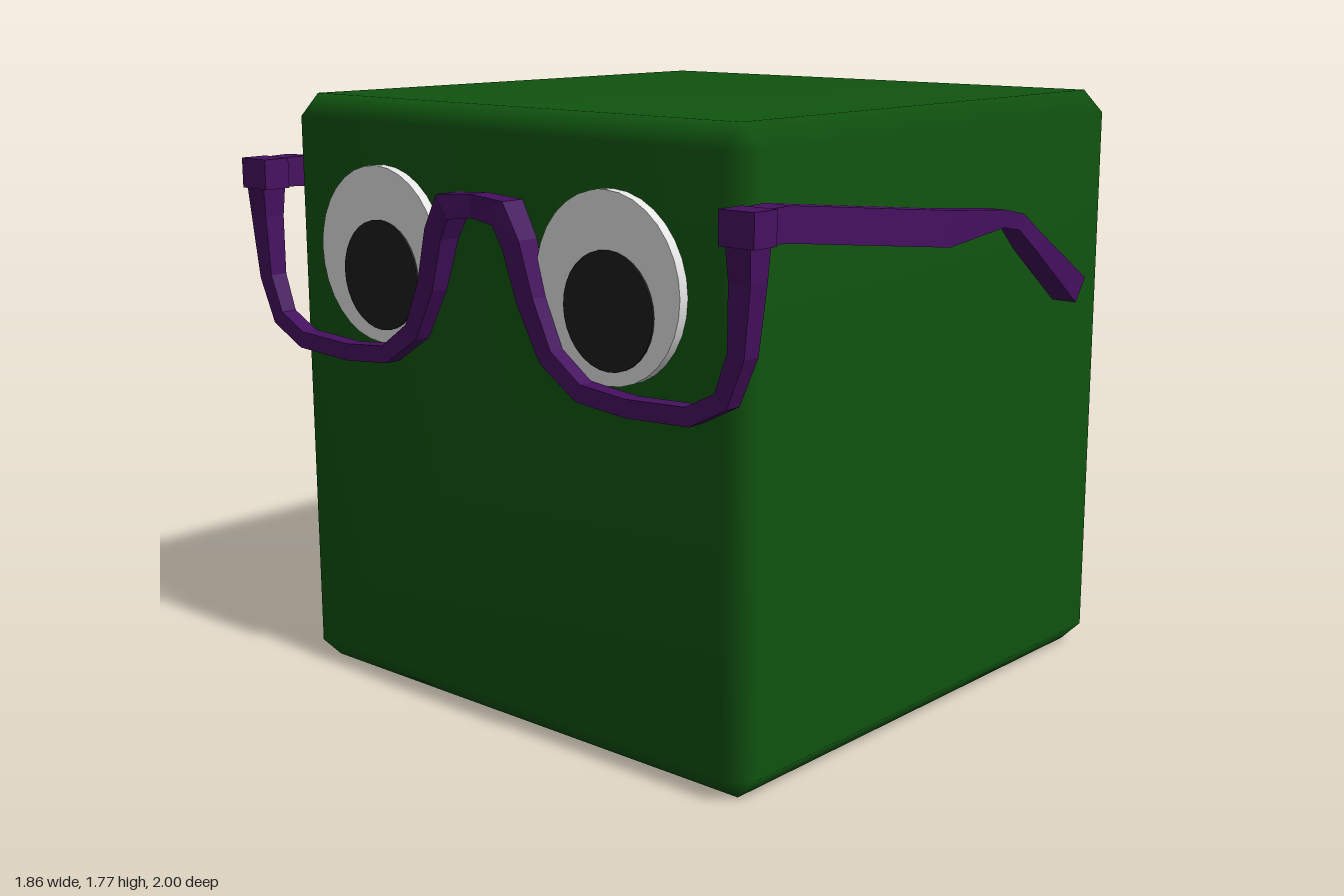
import * as THREE from 'three';
import { mergeVertices } from 'three/addons/utils/BufferGeometryUtils.js';
import { ConvexGeometry } from 'three/addons/geometries/ConvexGeometry.js';

const mat = (name, color, flatShading = false) => {
  const m = new THREE.MeshStandardMaterial({ color, flatShading });
  m.name = name;
  return m;
};

// Box with one flat bevel per edge and smooth normals running across it
function bevelledBox(w, h, d, c) {
  const pts = [];
  for (const x of [-1, 1]) for (const y of [-1, 1]) for (const z of [-1, 1]) {
    const half = [w / 2, h / 2, d / 2];
    for (let axis = 0; axis < 3; axis++) {
      const p = half.map((v, i) => (i === axis ? v : v - c));
      pts.push(new THREE.Vector3(p[0] * x, p[1] * y, p[2] * z));
    }
  }
  let g = new ConvexGeometry(pts);
  g.deleteAttribute('normal');
  g = mergeVertices(g);
  g.computeVertexNormals();
  return g;
}

// Bar of rectangular section along a flat path; stations are [u, v, width, depth]
// with the path in the local XY plane and the depth along Z
function bar(stations) {
  const pos = [], idx = [];
  const n = stations.length;
  stations.forEach(([u, v, width, depth], i) => {
    const at = (k) => new THREE.Vector2(stations[k][0], stations[k][1]);
    const a = at(Math.max(i - 1, 0)), b = at(i), c = at(Math.min(i + 1, n - 1));
    const d1 = b.clone().sub(a).normalize(), d2 = c.clone().sub(b).normalize();
    const t = d1.clone().add(d2).normalize();
    // widen at bends so that the bar keeps its thickness
    const mitre = width / 2 / Math.max(0.75, i && i < n - 1 ? t.dot(d1) : 1);
    const nx = -t.y * mitre, ny = t.x * mitre;
    for (const [s, e] of [[1, 1], [-1, 1], [-1, -1], [1, -1]]) {
      pos.push(u + nx * s, v + ny * s, e * depth / 2);
    }
  });
  for (let i = 0; i < n - 1; i++) {
    for (let k = 0; k < 4; k++) {
      const a = i * 4 + k, b = i * 4 + (k + 1) % 4;
      idx.push(a, b, a + 4, b, b + 4, a + 4);
    }
  }
  const e = (n - 1) * 4;
  idx.push(0, 2, 1, 0, 3, 2, e, e + 1, e + 2, e, e + 2, e + 3);
  const g = new THREE.BufferGeometry();
  g.setAttribute('position', new THREE.Float32BufferAttribute(pos, 3));
  g.setIndex(idx);
  const flat = g.toNonIndexed();
  flat.computeVertexNormals();
  return flat;
}

export function createModel() {
  const model = new THREE.Group();
  const green = mat('dark green', 0x10540f);
  const purple = mat('purple', 0x45105f, true);
  const white = mat('eye white', 0xe4e4e4);
  const black = mat('pupil black', 0x1c1c1c);

  const add = (name, geometry, material, x = 0, y = 0, z = 0) => {
    const m = new THREE.Mesh(geometry, material);
    m.name = name;
    m.position.set(x, y, z);
    model.add(m);
    return m;
  };

  // Cube body
  add('body', bevelledBox(1.77, 1.77, 1.78, 0.065), green, 0.045, 0.885, 0);

  // Temple arm, hinge end to ear tip
  const armGeo = bar([
    [-0.87, 1.533, 0.085, 0.08], [-0.78, 1.532, 0.092, 0.08], [-0.08, 1.45, 0.1, 0.08],
    [0.2, 1.45, 0.05, 0.062], [0.29, 1.432, 0.048, 0.062], [0.38, 1.362, 0.055, 0.08],
    [0.617, 1.197, 0.085, 0.08],
  ]);

  // Lower half rims joined by a raised bridge
  const half = [
    [0.945, 1.5, 0.08, 0.08], [0.945, 1.4, 0.07, 0.065], [0.93, 1.22, 0.055, 0.055],
    [0.88, 1.1, 0.05, 0.05], [0.77, 1.045, 0.05, 0.05], [0.56, 1.035, 0.05, 0.05],
    [0.39, 1.05, 0.05, 0.05], [0.27, 1.13, 0.055, 0.05], [0.2, 1.27, 0.065, 0.055],
    [0.155, 1.42, 0.07, 0.068], [0.11, 1.5, 0.07, 0.075],
  ];
  const mirrored = half.slice().reverse().map(([u, ...rest]) => [-u, ...rest]);
  const rim = add('glassesRim', bar([...half, [0, 1.51, 0.065, 0.06], ...mirrored]), purple, -0.89);
  rim.rotation.y = -Math.PI / 2;

  const disc = (r, t) => new THREE.CylinderGeometry(r, r, t, 32).rotateZ(Math.PI / 2);
  for (const [side, s] of [['left', 1], ['right', -1]]) {
    add(side + 'GlassesArm', armGeo, purple, 0, 0, s * 0.943);
    add(side + 'GlassesHinge', new THREE.BoxGeometry(0.086, 0.09, 0.112), purple, -0.891, 1.532, s * 0.944);
    add(side + 'Eye', disc(0.257, 0.04), white, -0.85, 1.328, s * 0.452);
    add(side + 'Pupil', disc(0.16, 0.008), black, -0.872, 1.27, s * 0.452 + 0.01);
  }
  return model;
}
